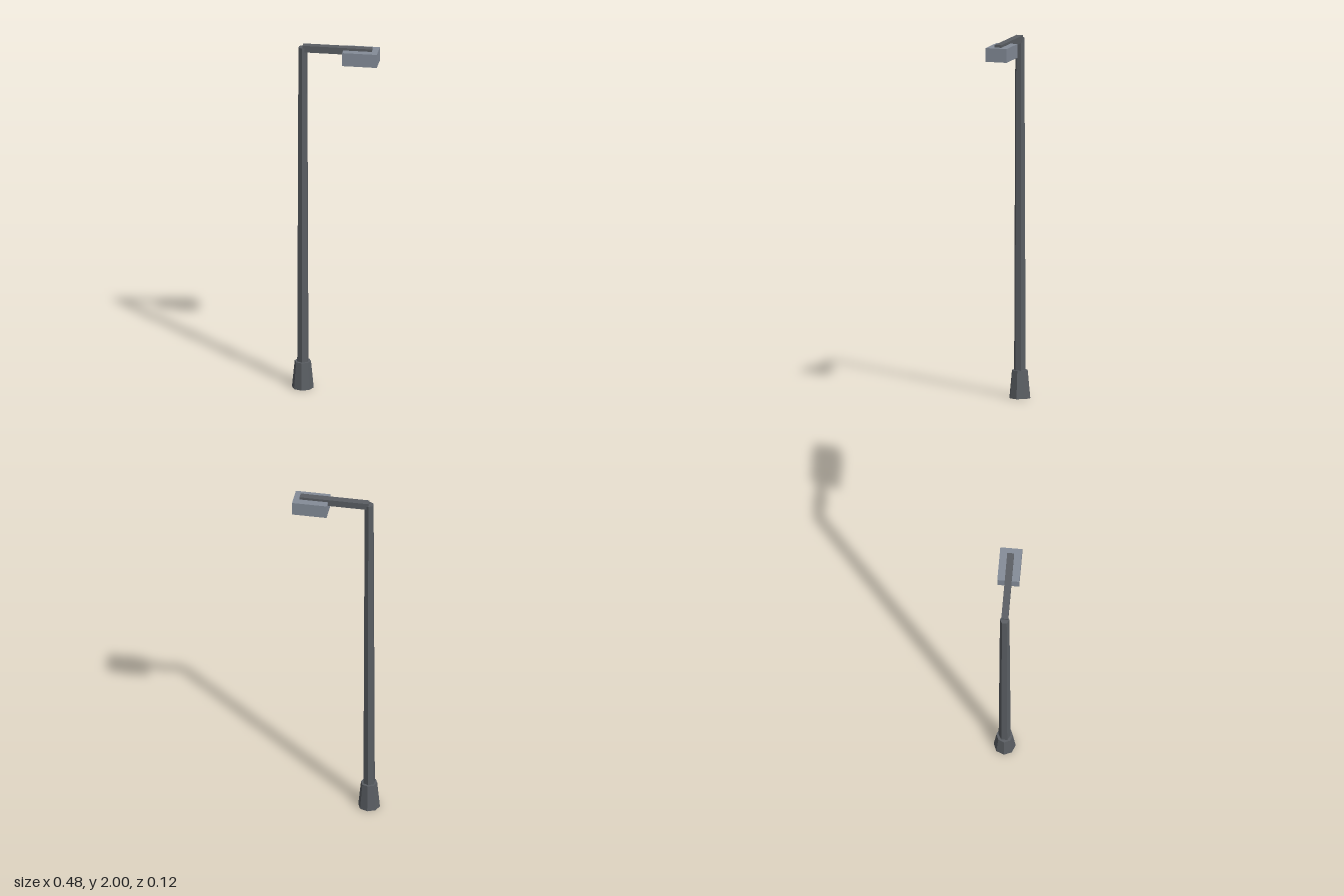
import * as THREE from 'three';

const POLE_X = -0.178;

export function createModel() {
  const group = new THREE.Group();
  group.name = 'streetLamp';

  const metal = new THREE.MeshStandardMaterial({ color: 0x5a5e63, flatShading: true });
  const housing = new THREE.MeshStandardMaterial({ color: 0x848c98, flatShading: true });

  const add = (name, geometry, material, x, y) => {
    const mesh = new THREE.Mesh(geometry, material);
    mesh.name = name;
    mesh.position.set(x, y, 0);
    group.add(mesh);
  };

  // Tapered octagonal foot
  add('base', new THREE.CylinderGeometry(0.045, 0.06, 0.153, 8), metal, POLE_X, 0.0765);

  // Slim hexagonal pole, narrowing towards the top
  add('pole', new THREE.CylinderGeometry(0.026, 0.033, 1.833, 6), metal, POLE_X, 0.153 + 1.833 / 2);

  // Horizontal arm reaching from the pole axis over the lamp
  add('arm', new THREE.BoxGeometry(0.382, 0.038, 0.038), metal, 0.013, 1.981);

  // Lamp housing hung around the end of the arm
  add('lampHead', new THREE.BoxGeometry(0.191, 0.076, 0.12), housing, 0.1425, 1.948);

  return group;
}
